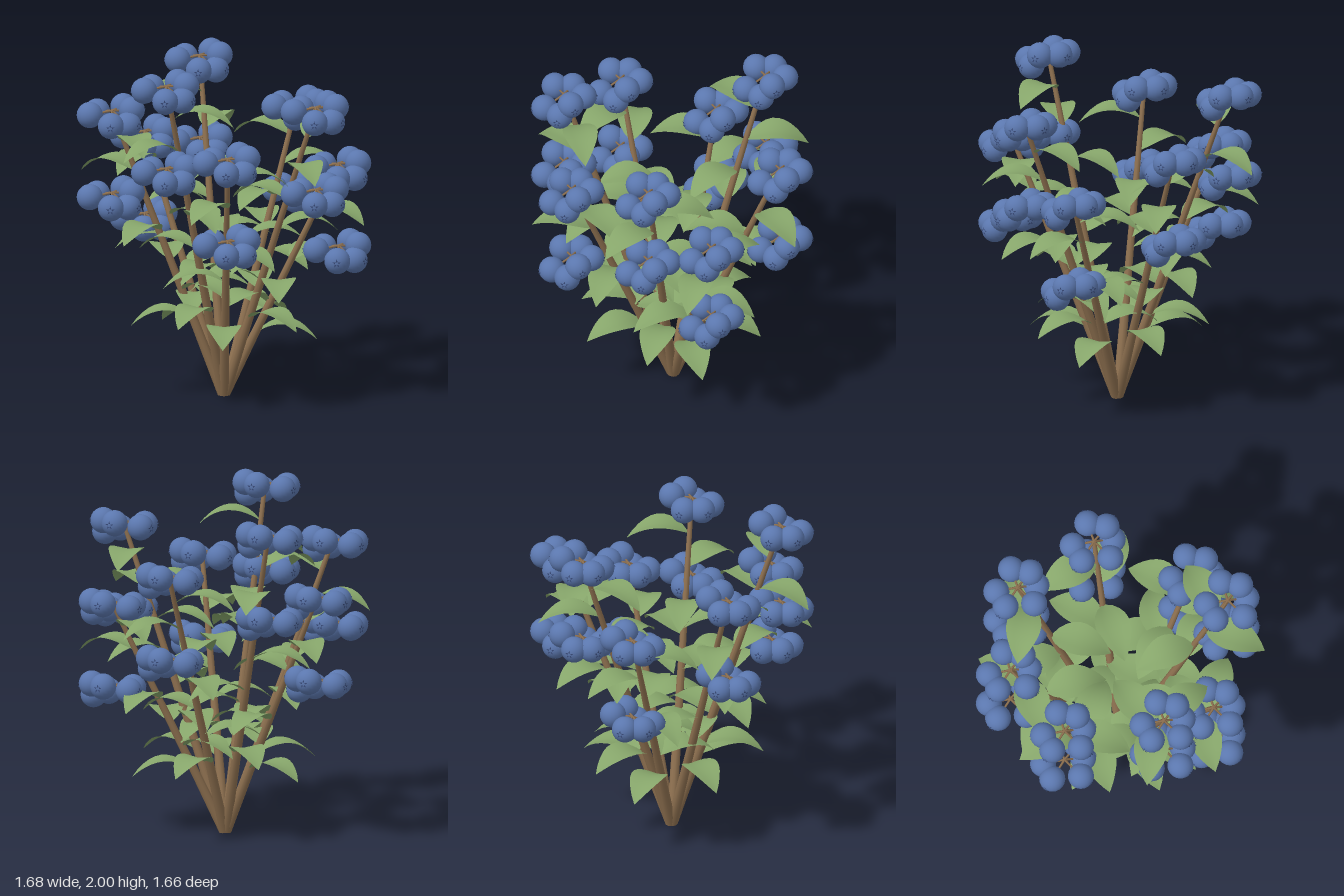
import * as THREE from 'three';

const caneMat = new THREE.MeshStandardMaterial({ color: 0x8b6e4e });
caneMat.name = 'cane brown';
const leafMat = new THREE.MeshStandardMaterial({ color: 0x86a56a, side: THREE.DoubleSide });
leafMat.name = 'leaf green';
const berryMat = new THREE.MeshStandardMaterial({ color: 0x5b77ae });
berryMat.name = 'berry blue';
const crownMat = new THREE.MeshStandardMaterial({ color: 0x384a78, side: THREE.DoubleSide });
crownMat.name = 'crown navy';

const V = (x, y, z) => new THREE.Vector3(x, y, z);
const UP = V(0, 1, 0);
const BERRY_R = 0.075;
const LEAVES = 7;

// Each cane: tip x, tip y, tip z, heading of its topmost leaf
const CANES = [
  [-0.17, 1.825, -0.62, 2.65],
  [0.39, 1.58, -0.51, -2.7],
  [0.655, 1.335, 0, -1.8],
  [0.545, 1.735, 0.345, -1.18],
  [0.055, 1.49, 0.635, -0.28],
  [-0.3, 1.895, 0.555, 0.19],
  [-0.635, 1.65, 0.095, 1.2],
  [-0.475, 1.42, -0.43, 2.13],
];

// Berry offsets inside one cluster
const BERRIES = [
  [0, -0.04, 0.12],
  [0.095, -0.045, 0.06],
  [0.113, 0.03, 0],
  [0.06, 0.03, -0.098],
  [-0.09, 0, -0.085],
  [-0.127, 0, 0.012],
];

// Tapered rod between two points
function rod(name, a, b, r0, r1, sides) {
  const dir = b.clone().sub(a);
  const mesh = new THREE.Mesh(new THREE.CylinderGeometry(r1, r0, dir.length(), sides), caneMat);
  mesh.position.copy(a).add(b).multiplyScalar(0.5);
  mesh.quaternion.setFromUnitVectors(UP, dir.normalize());
  mesh.name = name;
  return mesh;
}

// Pointed, arched leaf running along +x from its base, creased on the midrib
function leafGeometry() {
  const n = 10, across = 4, pos = [], index = [];
  for (let i = 0; i <= n; i++) {
    const s = i / n;
    const half = 0.1 * Math.pow(Math.sin(Math.PI * Math.pow(s, 0.85)), 0.85);
    for (let j = 0; j <= across; j++) {
      const w = (j / across) * 2 - 1;
      const lift = 0.15 * half * Math.abs(w);
      pos.push(0.38 * s - 0.02 * s * s, 0.28 * s - 0.31 * s * s + lift, half * w);
    }
  }
  for (let i = 0; i < n; i++) {
    for (let j = 0; j < across; j++) {
      const a = i * (across + 1) + j, b = a + across + 1;
      index.push(a, a + 1, b, a + 1, b + 1, b);
    }
  }
  const g = new THREE.BufferGeometry();
  g.setAttribute('position', new THREE.Float32BufferAttribute(pos, 3));
  g.setIndex(index);
  g.computeVertexNormals();
  return g;
}

// Ring of five small sepals for the blossom end of a berry
function crownGeometry() {
  const sepals = [];
  for (let i = 0; i < 5; i++) {
    const a = (i * Math.PI * 2) / 5;
    const at = (r, da) => new THREE.Vector2(r * Math.sin(a + da), r * Math.cos(a + da));
    sepals.push(new THREE.Shape([at(0.026, 0), at(0.011, -0.55), at(0.011, 0.55)]));
  }
  return new THREE.ShapeGeometry(sepals);
}

// Berries on thin stalks around a common hub, blossom ends facing out
function makeCluster(berryGeo, crownGeo) {
  const cluster = new THREE.Group();
  cluster.name = 'berryCluster';
  const hub = V(0, 0.025, 0);
  for (const [x, y, z] of BERRIES) {
    const centre = V(x, y, z);
    cluster.add(rod('berryStalk', hub, centre, 0.007, 0.005, 6));

    const berry = new THREE.Mesh(berryGeo, berryMat);
    berry.name = 'berry';
    berry.position.copy(centre);
    cluster.add(berry);

    const out = V(x, 0, z).normalize();
    const crown = new THREE.Mesh(crownGeo, crownMat);
    crown.name = 'berryCrown';
    crown.position.copy(centre).addScaledVector(out, BERRY_R + 0.001);
    crown.quaternion.setFromUnitVectors(V(0, 0, 1), out);
    cluster.add(crown);
  }
  return cluster;
}

export function createModel() {
  const bush = new THREE.Group();
  bush.name = 'berryBush';
  const leafGeo = leafGeometry();
  const crownGeo = crownGeometry();
  const berryGeo = new THREE.SphereGeometry(BERRY_R, 20, 14);

  for (const [x, y, z, heading] of CANES) {
    const group = new THREE.Group();
    group.name = 'caneWithFruit';

    // Cane leaning out from the shared foot
    const outward = V(x, 0, z).normalize();
    const foot = outward.clone().multiplyScalar(0.008).setY(0.01);
    const tip = V(x, y + 0.025, z);
    group.add(rod('cane', foot, tip, 0.03, 0.013, 10));

    // Leaves spiralling down the cane by the golden angle
    for (let i = 0; i < LEAVES; i++) {
      const leaf = new THREE.Mesh(leafGeo, leafMat);
      leaf.name = 'leaf';
      leaf.position.lerpVectors(foot, tip, 0.89 - 0.105 * i);
      leaf.rotation.y = -(heading + i * 2.4);
      group.add(leaf);
    }

    // Fruit at the tip, with a second cluster hanging below
    for (const drop of [0, 0.48]) {
      const cluster = makeCluster(berryGeo, crownGeo);
      cluster.position.set(x, y - drop, z);
      group.add(cluster);
    }
    bush.add(group);
  }
  return bush;
}
